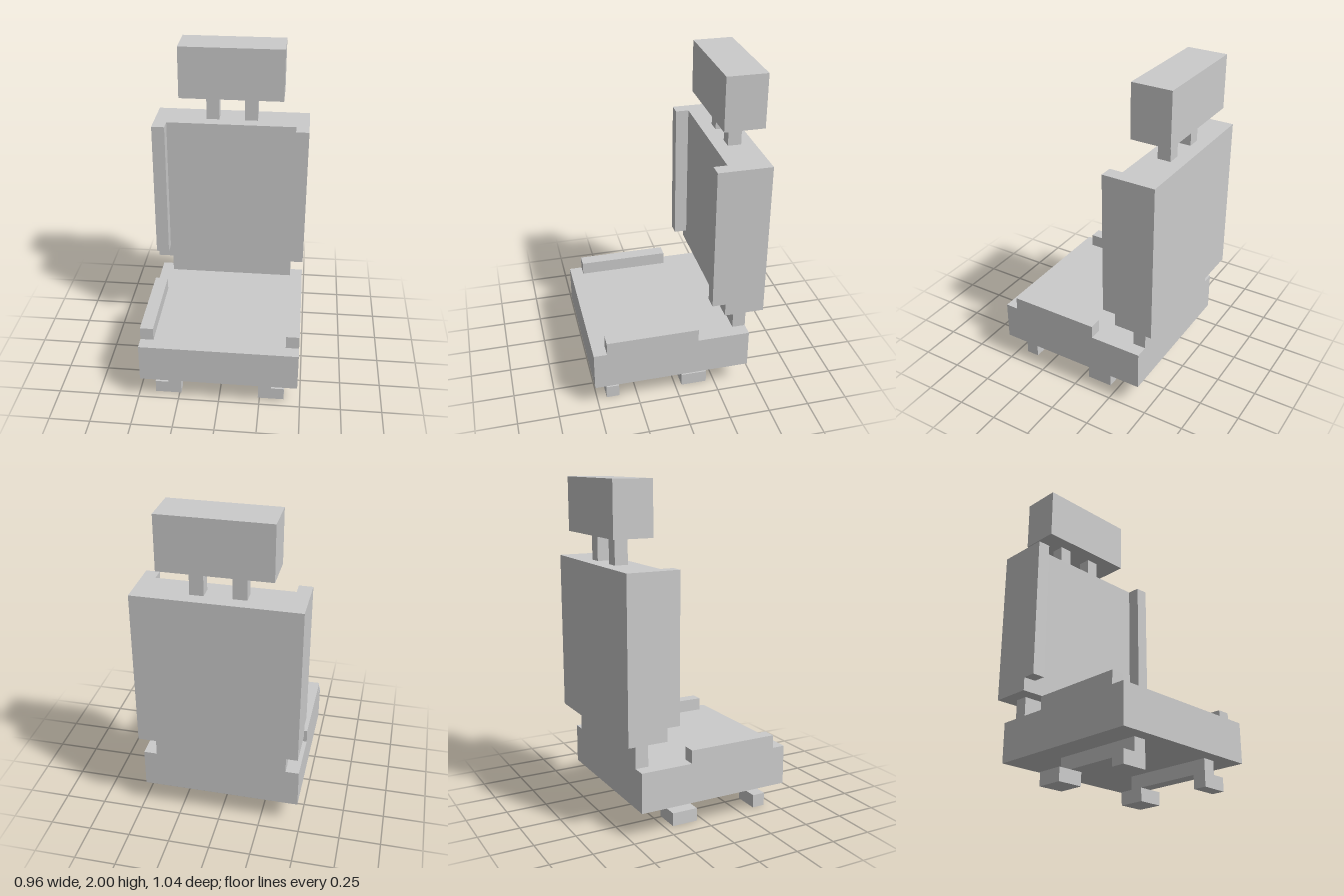
import * as THREE from 'three';

const material = new THREE.MeshStandardMaterial({ color: 0xcccccc, flatShading: true });

// Adds a box given its extents along each axis
function addBox(parent, name, [x0, x1], [y0, y1], [z0, z1]) {
  const mesh = new THREE.Mesh(new THREE.BoxGeometry(x1 - x0, y1 - y0, z1 - z0), material);
  mesh.position.set((x0 + x1) / 2, (y0 + y1) / 2, (z0 + z1) / 2);
  mesh.name = name;
  parent.add(mesh);
}

// Adds a box on the left (+x) and its mirror on the right (-x)
function addPair(parent, name, [x0, x1], y, z) {
  addBox(parent, 'left' + name, [x0, x1], y, z);
  addBox(parent, 'right' + name, [-x1, -x0], y, z);
}

export function createModel() {
  const seat = new THREE.Group();
  seat.name = 'carSeat';

  // Floor rails with outward feet
  addPair(seat, 'Rail', [0.24, 0.32], [0.08, 0.16], [-0.12, 0.44]);
  addPair(seat, 'FrontFoot', [0.24, 0.4], [0, 0.08], [0.36, 0.44]);
  addPair(seat, 'RearFoot', [0.24, 0.4], [0, 0.08], [-0.2, -0.04]);

  // Cushion with side bolsters
  addBox(seat, 'cushion', [-0.48, 0.48], [0.16, 0.4], [-0.44, 0.52]);
  addPair(seat, 'CushionBolster', [0.4, 0.48], [0.4, 0.48], [-0.12, 0.44]);

  // Backrest on its hinge, with side bolsters
  addBox(seat, 'hinge', [-0.4, 0.4], [0.4, 0.56], [-0.44, -0.36]);
  addBox(seat, 'backrest', [-0.48, 0.48], [0.56, 1.52], [-0.52, -0.28]);
  addPair(seat, 'BackrestBolster', [0.4, 0.48], [0.64, 1.52], [-0.28, -0.2]);

  // Headrest on two posts
  addPair(seat, 'HeadrestPost', [0.08, 0.16], [1.52, 1.68], [-0.44, -0.36]);
  addBox(seat, 'headrest', [-0.32, 0.32], [1.68, 2], [-0.52, -0.28]);

  return seat;
}
